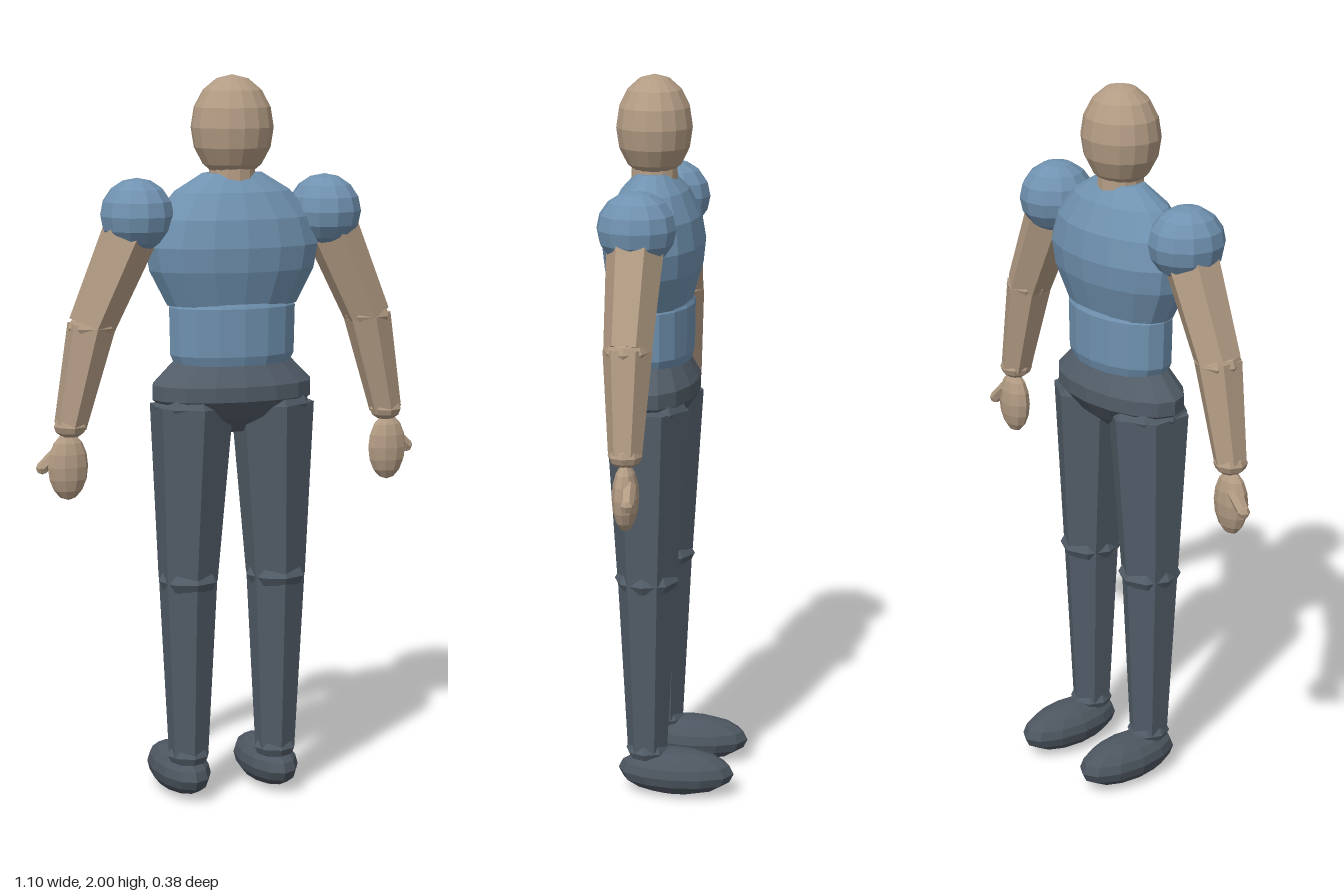
import * as THREE from 'three';

export function createModel() {
  const model = new THREE.Group();
  model.name = 'mannequin';
  const mat = (name, color) => Object.assign(new THREE.MeshStandardMaterial({ color }), { name });
  const skin = mat('skin', 0xb39c84);
  const shirt = mat('blue shirt', 0x7092b0);
  const trousers = mat('dark trousers', 0x525d68);
  const shoe = mat('dark shoe', 0x4d5660);
  const Z = 0.055; // depth of the body axis

  // Faceted mesh: split the corners so that every face has its own normal
  function add(name, geometry, material, x, y, z) {
    const g = geometry.index ? geometry.toNonIndexed() : geometry;
    g.computeVertexNormals();
    const mesh = new THREE.Mesh(g, material);
    mesh.name = name;
    mesh.position.set(x, y, z);
    model.add(mesh);
    return mesh;
  }
  const ball = (name, material, x, y, z, rx, ry = rx, rz = rx, w = 12, h = 8) =>
    add(name, new THREE.SphereGeometry(1, w, h).scale(rx, ry, rz), material, x, y, z);
  // Oval body section from a [radius, height] profile, listed upwards
  const oval = (name, material, profile, depth) =>
    add(name, new THREE.LatheGeometry(profile.map(p => new THREE.Vector2(...p)), 16).scale(1, 1, depth),
      material, 0, 0, Z);
  // Tapered six-sided limb from a to b
  function limb(name, material, a, b, ra, rb, sides = 6) {
    const from = new THREE.Vector3(...a), to = new THREE.Vector3(...b);
    const dir = from.clone().sub(to);
    const mesh = add(name, new THREE.CylinderGeometry(ra, rb, dir.length(), sides), material,
      ...from.add(to).multiplyScalar(0.5).toArray());
    mesh.quaternion.setFromUnitVectors(new THREE.Vector3(0, 1, 0), dir.normalize());
    return mesh;
  }

  // Head and neck
  ball('head', skin, 0, 1.86, Z, 0.113, 0.14, 0.104, 16, 8);
  limb('neck', skin, [0, 1.8, Z], [0, 1.7, Z], 0.06, 0.065, 12);

  // Torso
  oval('chest', shirt, [[0, 1.385], [0.185, 1.385], [0.235, 1.48], [0.247, 1.545],
    [0.225, 1.62], [0.165, 1.69], [0.085, 1.738], [0, 1.738]], 0.55);
  oval('waist', shirt, [[0, 1.225], [0.165, 1.225], [0.177, 1.25], [0.18, 1.38], [0.165, 1.4], [0, 1.4]], 0.61);
  oval('pelvis', trousers, [[0, 1.03], [0.06, 1.035], [0.16, 1.08], [0.228, 1.13],
    [0.228, 1.17], [0.162, 1.237], [0, 1.237]], 0.54);

  for (const [side, s] of [['left', 1], ['right', -1]]) {
    // Arm
    const elbow = [s * 0.398, 1.335, 0.052], wrist = [s * 0.457, 1.07, 0.048];
    ball(side + 'Shoulder', shirt, s * 0.268, 1.63, 0.053, 0.1, 0.1, 0.106);
    limb(side + 'UpperArm', skin, [s * 0.275, 1.61, 0.053], elbow, 0.078, 0.064);
    ball(side + 'Elbow', skin, ...elbow, 0.064, 0.04, 0.064, 8, 6);
    limb(side + 'Forearm', skin, elbow, wrist, 0.066, 0.045);
    ball(side + 'Wrist', skin, ...wrist, 0.046, 0.032, 0.046, 8, 6);
    ball(side + 'Hand', skin, s * 0.464, 0.96, 0.046, 0.056, 0.092, 0.035, 10, 8);
    const thumbTip = [s * 0.531, 0.957, 0.029];
    limb(side + 'Thumb', skin, [s * 0.485, 1.0, 0.034], thumbTip, 0.02, 0.017);
    ball(side + 'ThumbTip', skin, ...thumbTip, 0.018, 0.018, 0.018, 6, 4);

    // Leg
    const knee = [s * 0.128, 0.625, Z], ankle = [s * 0.128, 0.125, Z];
    limb(side + 'Thigh', trousers, [s * 0.117, 1.11, Z], knee, 0.116, 0.083);
    ball(side + 'Hip', trousers, s * 0.117, 1.11, Z, 0.105, 0.06, 0.11, 8, 6);
    ball(side + 'Knee', trousers, ...knee, 0.085, 0.045, 0.09, 8, 6);
    limb(side + 'Shin', trousers, knee, ankle, 0.082, 0.056);
    ball(side + 'Ankle', trousers, ...ankle, 0.06, 0.035, 0.06, 8, 6);
    ball(side + 'Foot', shoe, s * 0.13, 0.065, -0.027, 0.078, 0.065, 0.164);
  }
  return model;
}
